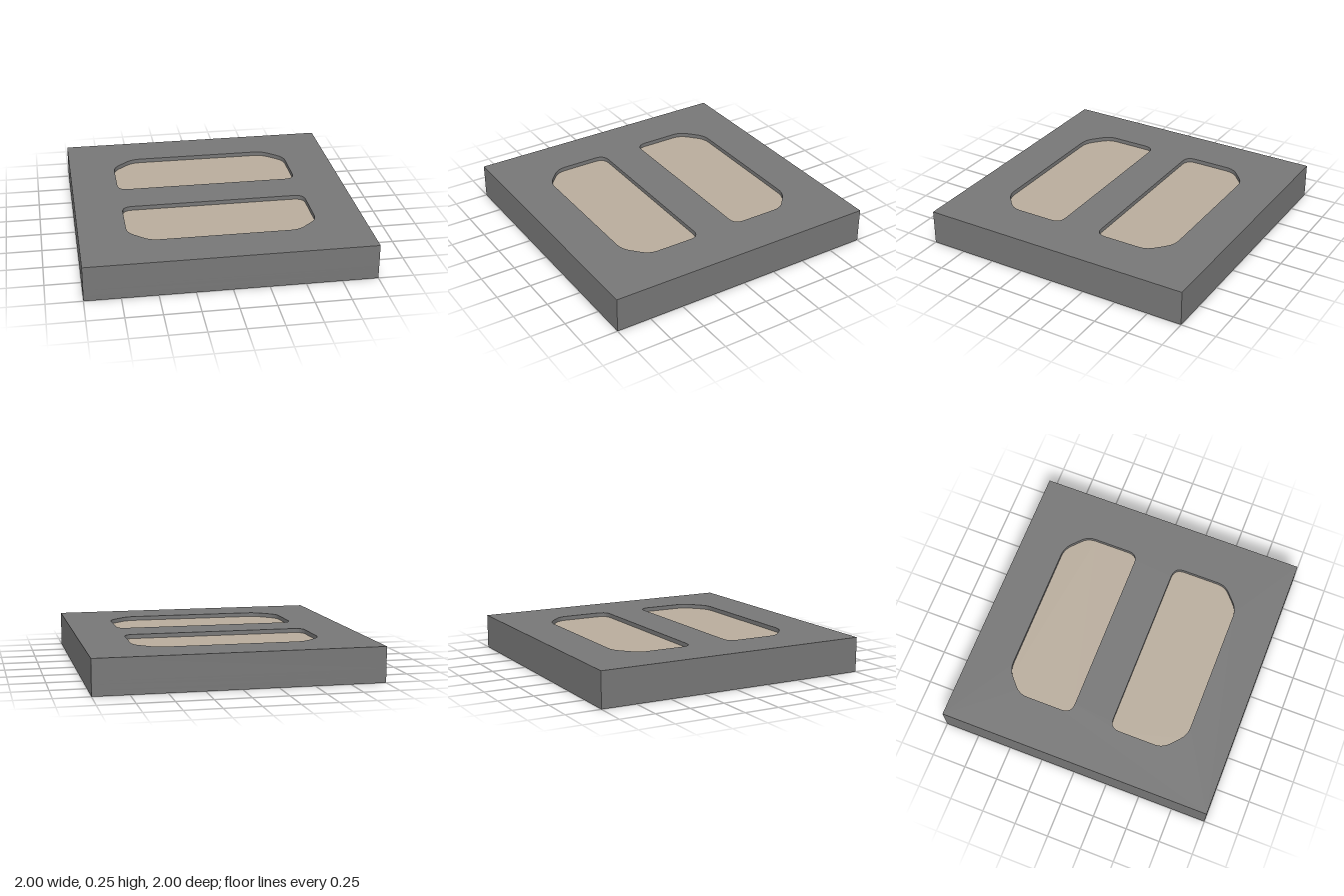
import * as THREE from 'three';

// Closed outline through corner points, each corner [x, y, radius] softened by a curve
function roundedOutline(corners, Target = THREE.Shape) {
  const path = new Target();
  const n = corners.length;
  const toward = (a, b) => {
    const d = Math.hypot(b[0] - a[0], b[1] - a[1]);
    const t = Math.min(a[2] / d, 0.5);
    return [a[0] + (b[0] - a[0]) * t, a[1] + (b[1] - a[1]) * t];
  };
  corners.forEach((c, i) => {
    const start = toward(c, corners[(i + n - 1) % n]);
    const end = toward(c, corners[(i + 1) % n]);
    if (i === 0) path.moveTo(...start);
    else path.lineTo(...start);
    path.quadraticCurveTo(c[0], c[1], ...end);
  });
  path.closePath();
  return path;
}

// Window outline with chamfered outer corners; side is +1 or -1, grow widens it
function windowOutline(side, grow, Target) {
  const w = 0.665 + grow, near = 0.148 - grow, far = 0.682 + grow;
  const half = [[w, near, 0.075], [w, far - 0.135, 0.06], [w - 0.15, far, 0.06]];
  const all = [...half, ...half.map(([x, y, r]) => [-x, y, r]).reverse()];
  return roundedOutline(all.map(([x, y, r]) => [x, y * side, r]), Target);
}

// Octagonal outline for the underside recess
function octagon(half, cut) {
  const k = half - cut;
  const pts = [[half, -k], [half, k], [k, half], [-k, half], [-half, k], [-half, -k], [-k, -half], [k, -half]];
  return new THREE.Path(pts.map(([x, y]) => new THREE.Vector2(x, y)));
}

function square() {
  return new THREE.Shape([[-1, -1], [1, -1], [1, 1], [-1, 1]].map(([x, y]) => new THREE.Vector2(x, y)));
}

// Horizontal slab between two heights
function slab(name, shape, y0, y1, material) {
  const geometry = new THREE.ExtrudeGeometry(shape, { depth: y1 - y0, bevelEnabled: false, curveSegments: 5 });
  geometry.rotateX(-Math.PI / 2);
  geometry.translate(0, y0, 0);
  const mesh = new THREE.Mesh(geometry, material);
  mesh.name = name;
  return mesh;
}

export function createModel() {
  const model = new THREE.Group();
  model.name = 'windowedTile';
  const frameMaterial = new THREE.MeshStandardMaterial({ color: 0x777777 });
  const panelMaterial = new THREE.MeshStandardMaterial({ color: 0xb9ad9d });

  // Frame in layers: stepped recess below, two windows above
  const frame = new THREE.Group();
  frame.name = 'frame';
  const layers = [
    ['lowerRim', 0, 0.04, [octagon(0.85, 0.18)]],
    ['innerRim', 0.04, 0.08, [octagon(0.83, 0.175)]],
    ['windowLip', 0.08, 0.1, [1, -1].map((s) => windowOutline(s, 0.015, THREE.Path))],
    ['topPlate', 0.1, 0.25, [1, -1].map((s) => windowOutline(s, 0, THREE.Path))],
  ];
  for (const [name, y0, y1, holes] of layers) {
    const shape = square();
    shape.holes.push(...holes);
    frame.add(slab(name, shape, y0, y1, frameMaterial));
  }
  model.add(frame);

  // Panels set slightly below the top surface
  for (const [name, side] of [['frontPanel', -1], ['backPanel', 1]]) {
    model.add(slab(name, windowOutline(side, 0), 0.13, 0.22, panelMaterial));
  }
  return model;
}
